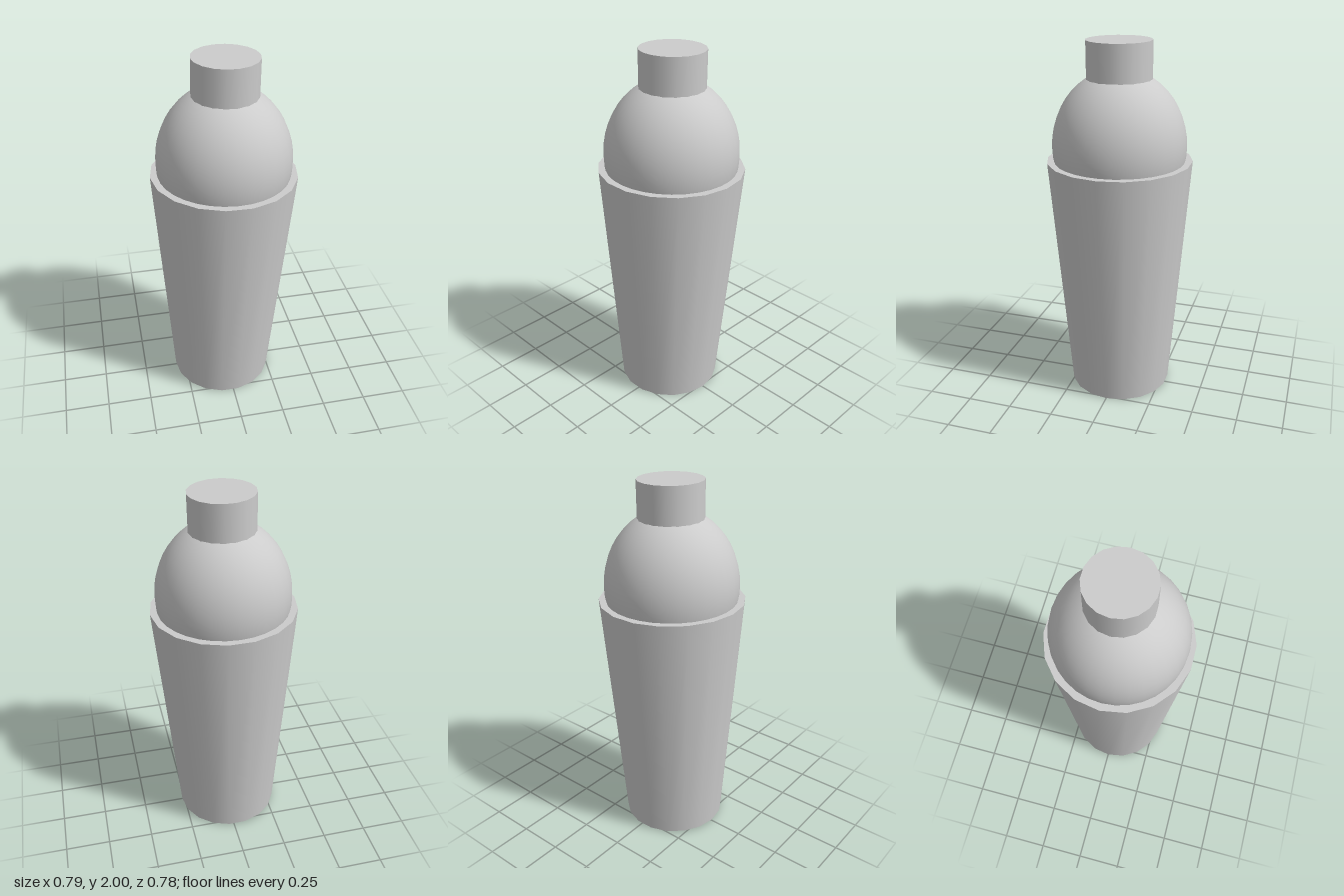
import * as THREE from 'three';

const material = new THREE.MeshStandardMaterial({ color: 0xcccccc });
const SIDES = 18;

function addPart(group, name, geometry, y) {
  const mesh = new THREE.Mesh(geometry, material);
  mesh.name = name;
  mesh.position.y = y;
  group.add(mesh);
  return mesh;
}

// Closed round part standing between two heights, with a corner on the x axis
function taper(rTop, rBottom, height) {
  return new THREE.CylinderGeometry(rTop, rBottom, height, SIDES, 1, false, Math.PI / 2);
}

export function createModel() {
  const model = new THREE.Group();
  model.name = 'cocktailShaker';

  // The whole shaker leans very slightly towards +x
  const shaker = new THREE.Group();
  shaker.name = 'shaker';
  shaker.position.set(-0.022, 0.0042, 0);
  shaker.rotation.z = -0.0145;
  model.add(shaker);

  // Tapered cup
  const cupHeight = 1.356;
  addPart(shaker, 'cup', taper(0.396, 0.287, cupHeight), cupHeight / 2);

  // Domed strainer, slightly taller than a sphere
  const dome = new THREE.SphereGeometry(0.363, 32, 24);
  dome.scale(1, 0.412 / 0.363, 1);
  addPart(shaker, 'dome', dome, 1.433);

  // Cap, sunk a little into the dome
  const capBottom = 1.76, capTop = 1.993;
  addPart(shaker, 'cap', taper(0.176, 0.176, capTop - capBottom), (capTop + capBottom) / 2);

  return model;
}
